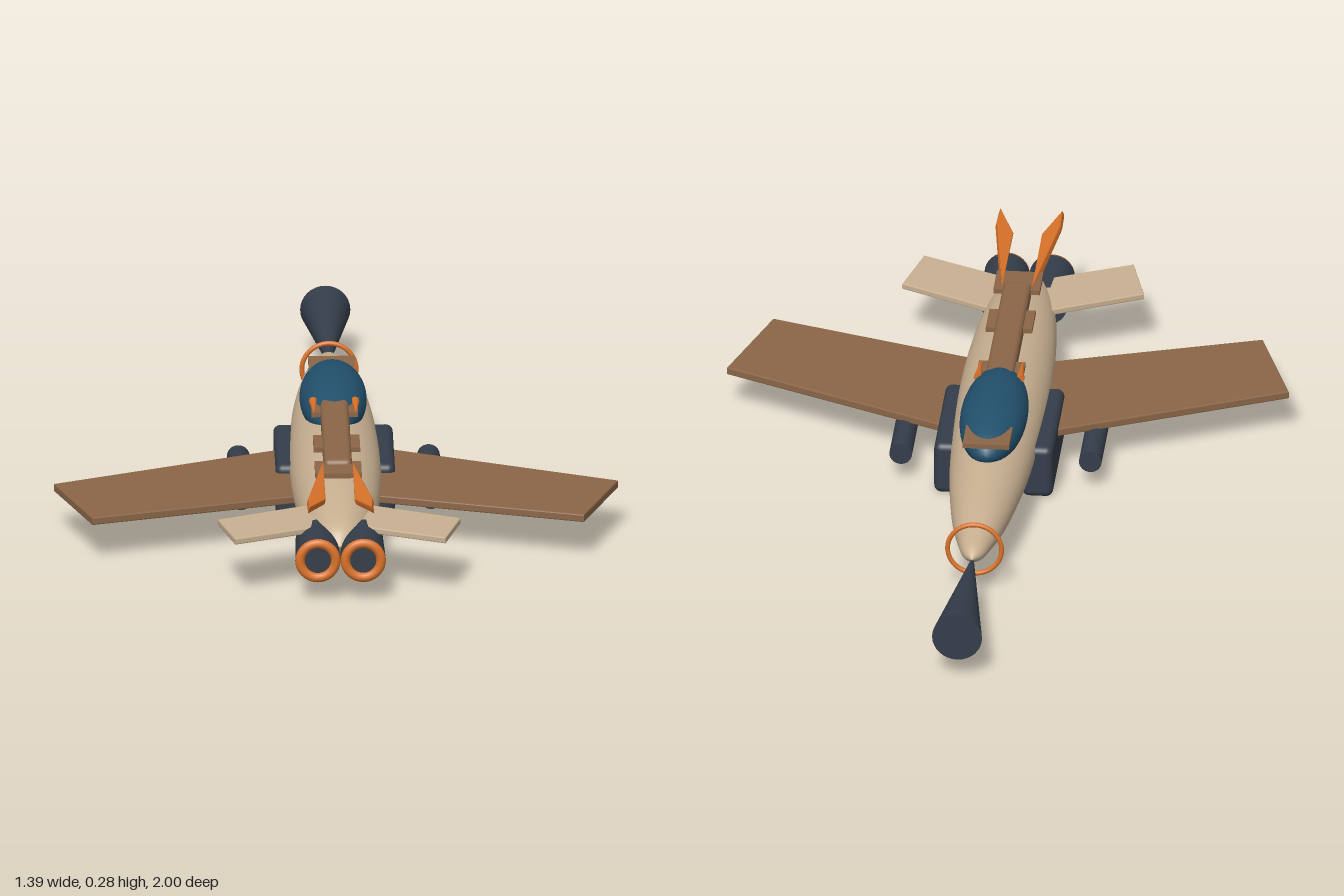
import * as THREE from 'three';
import { RoundedBoxGeometry } from 'three/addons/geometries/RoundedBoxGeometry.js';

const mat = (color) => new THREE.MeshStandardMaterial({ color });
const TAN = mat(0xc8b091), BROWN = mat(0x8b6648), DARK = mat(0x343d4a);
const TEAL = mat(0x22506c), ORANGE = mat(0xd9722a);

export function createModel() {
  const model = new THREE.Group();

  const add = (name, geometry, material, x = 0, y = 0, z = 0) => {
    const mesh = new THREE.Mesh(geometry, material);
    mesh.name = name;
    mesh.position.set(x, y, z);
    model.add(mesh);
    return mesh;
  };

  // Cylinder lying along z; r1 is the radius at the +z end
  const tube = (r1, r2, length, sides = 32) =>
    new THREE.CylinderGeometry(r1, r2, length, sides).rotateX(Math.PI / 2);

  // Flat panel from [x, z] corners, centred on y = 0
  const panel = (points, thickness, bevel = 0.003) => {
    const shape = new THREE.Shape(points.map(([x, z]) => new THREE.Vector2(x, z)));
    const depth = thickness - 2 * bevel;
    return new THREE.ExtrudeGeometry(shape, {
      depth, bevelEnabled: true, bevelSize: bevel, bevelThickness: bevel, bevelOffset: -bevel, bevelSegments: 2,
    }).translate(0, 0, -depth / 2).rotateX(Math.PI / 2);
  };
  const mirrored = (points, s) => points.map(([x, z]) => [x * s, z]);

  // Fuselage: smooth spindle, slightly flattened
  const profile = new THREE.SplineCurve([
    [0, -0.605], [0.025, -0.575], [0.042, -0.52], [0.068, -0.4], [0.093, -0.2], [0.106, 0],
    [0.113, 0.25], [0.109, 0.45], [0.094, 0.65], [0.07, 0.79], [0.045, 0.855], [0, 0.89],
  ].map(([r, z]) => new THREE.Vector2(r, z))).getPoints(60);
  profile.forEach((p) => { p.x = Math.max(p.x, 0); });
  const body = new THREE.LatheGeometry(profile, 48).rotateX(Math.PI / 2).scale(1, 0.84, 1);
  add('fuselage', body, TAN, 0, 0.12, 0);

  // Nose cone flaring outward, and the ring behind it
  add('noseCone', tube(0.004, 0.062, 0.41), DARK, 0, 0.111, -0.795);
  add('noseRing', new THREE.TorusGeometry(0.067, 0.006, 12, 48), ORANGE, 0, 0.112, -0.53);

  // Canopy and dorsal spine
  add('canopy', new THREE.SphereGeometry(1, 40, 24).scale(0.083, 0.068, 0.23), TEAL, 0, 0.21, -0.005);
  add('spine', new RoundedBoxGeometry(0.07, 0.048, 0.5, 3, 0.014), BROWN, 0, 0.233, 0.375);
  [-0.18, 0.165, 0.44, 0.645].forEach((z) =>
    add('spinePlate', new THREE.BoxGeometry(0.115, 0.012, 0.1), BROWN, 0, 0.24, z));

  const wing = [[0.04, 0.065], [0.697, 0.367], [0.607, 0.637], [0.04, 0.455]];
  const tail = [[0.03, 0.645], [0.3, 0.775], [0.26, 0.93], [0.03, 0.825]];
  const blade = [[-0.022, -0.19], [0.022, 0.13], [0.02, 0.205], [-0.024, 0.1]];

  for (const s of [1, -1]) {
    const side = s > 0 ? 'left' : 'right';

    // Swept wing and tailplane
    add(side + 'Wing', panel(mirrored(wing, s), 0.02), BROWN, 0, 0.106, 0);
    add(side + 'Tailplane', panel(mirrored(tail, s), 0.016), TAN, 0, 0.148, 0);

    // Intake and underwing pod
    add(side + 'Intake', new RoundedBoxGeometry(0.077, 0.137, 0.335, 4, 0.018), DARK, s * 0.109, 0.0685, 0.133);
    add(side + 'Pod', tube(0.028, 0.028, 0.34), DARK, s * 0.235, 0.073, 0.2);

    // Engine with nozzle ring
    add(side + 'Engine', tube(0.056, 0.052, 0.165), DARK, s * 0.056, 0.105, 0.868);
    add(side + 'NozzleRing', new THREE.TorusGeometry(0.044, 0.012, 14, 40), ORANGE, s * 0.056, 0.105, 0.95);

    // Rear blade canted upward and outward
    add(side + 'RearBlade', panel(mirrored(blade, s), 0.018, 0.004), ORANGE, s * 0.06, 0.246, 0.795)
      .rotation.z = s * 0.28;

    // Small spike beside the canopy
    add(side + 'Spike', tube(0.002, 0.011, 0.09, 8), ORANGE, s * 0.052, 0.246, 0.168);
  }

  return model;
}
